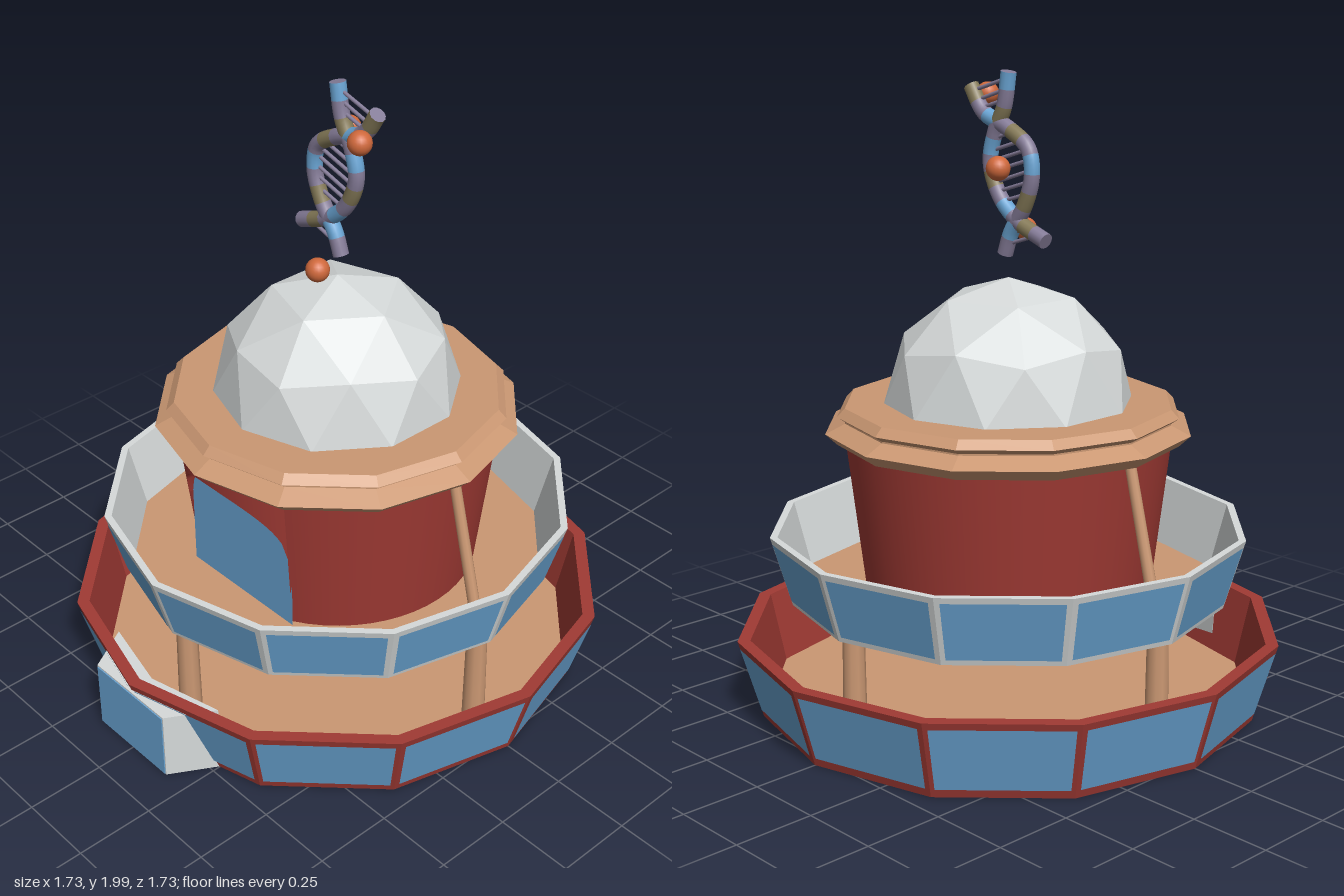
import * as THREE from 'three';

const mat = (name, color, side = THREE.FrontSide) => {
  const m = new THREE.MeshStandardMaterial({ color, side });
  m.name = name;
  return m;
};

export function createModel() {
  const red = mat('brick red', 0xa03a34, THREE.DoubleSide);
  const tan = mat('tan', 0xcb9873);
  const blue = mat('glass blue', 0x6aa5d4);
  const grey = mat('pale grey', 0xd6dada);
  const orange = mat('orange', 0xd0693c);
  const violet = mat('dusty violet', 0x857c98);
  const olive = mat('olive', 0x857a58);

  const model = new THREE.Group();
  model.name = 'pavilion';

  const add = (name, geo, material, x = 0, y = 0, z = 0, parent = model) => {
    const mesh = new THREE.Mesh(geo, material);
    mesh.name = name;
    mesh.position.set(x, y, z);
    parent.add(mesh);
    return mesh;
  };
  // Faceted normals
  const flat = (geo) => {
    const g = geo.index ? geo.toNonIndexed() : geo;
    g.computeVertexNormals();
    return g;
  };
  // Twelve-sided ring from [radius, height] pairs
  const ring = (pts) =>
    flat(new THREE.LatheGeometry(pts.map(([r, y]) => new THREE.Vector2(r, y)), 12));
  // Round bar between two points
  const bar = (name, a, b, r0, r1, material, parent = model) => {
    const mesh = add(name, new THREE.CylinderGeometry(r1, r0, a.distanceTo(b), 10), material, 0, 0, 0, parent);
    mesh.position.copy(a).lerp(b, 0.5);
    mesh.quaternion.setFromUnitVectors(new THREE.Vector3(0, 1, 0), b.clone().sub(a).normalize());
    return mesh;
  };
  // Twelve glass faces just outside a sloping wall
  const panes = (r0, y0, r1, y1, margin, low, high) => {
    const pos = [];
    const corner = (i, side, v) => {
      const r = r0 + (r1 - r0) * v + 0.004;
      const a = (i / 12) * Math.PI * 2, b = ((i + 1) / 12) * Math.PI * 2;
      const t = side ? 1 - margin : margin;
      return [
        r * (Math.sin(a) * (1 - t) + Math.sin(b) * t),
        y0 + (y1 - y0) * v,
        r * (Math.cos(a) * (1 - t) + Math.cos(b) * t),
      ];
    };
    for (let i = 0; i < 12; i++) {
      const p = corner(i, 0, low), q = corner(i, 1, low), s = corner(i, 1, high), t = corner(i, 0, high);
      pos.push(...p, ...q, ...s, ...p, ...s, ...t);
    }
    const g = new THREE.BufferGeometry();
    g.setAttribute('position', new THREE.Float32BufferAttribute(pos, 3));
    g.computeVertexNormals();
    return g;
  };

  // Lower terrace
  add('lowerWall', ring([[0.79, 0], [0.865, 0.255], [0.825, 0.255], [0.775, 0.03]]), red);
  add('lowerWindows', panes(0.79, 0, 0.865, 0.255, 0.035, 0.11, 0.92), blue);
  add('lowerFloor', flat(new THREE.CylinderGeometry(0.785, 0.785, 0.032, 12)), tan, 0, 0.016, 0);

  // Entrance porch
  const plan = new THREE.Shape([
    [-0.165, -0.866], [-0.25, -0.72], [0, -0.78], [0.25, -0.72], [0.165, -0.866],
  ].map(([x, y]) => new THREE.Vector2(x, y)));
  const porch = new THREE.ExtrudeGeometry(plan, { depth: 0.23, bevelEnabled: false });
  porch.rotateX(-Math.PI / 2);
  add('porch', porch, grey);
  add('porchDoor', new THREE.BoxGeometry(0.322, 0.222, 0.005), blue, 0, 0.114, 0.867);

  // Posts under the upper terrace
  for (let i = 0; i < 4; i++) {
    const a = (i * Math.PI) / 2;
    const s = Math.sin(a), c = Math.cos(a);
    bar('deckPost', new THREE.Vector3(s * 0.635, 0.03, c * 0.635),
      new THREE.Vector3(s * 0.635, 0.365, c * 0.635), 0.037, 0.033, tan);
  }

  // Upper terrace
  add('upperWall', ring([[0.69, 0.36], [0.755, 0.583], [0.732, 0.583], [0.675, 0.37]]), grey);
  add('upperWindows', panes(0.69, 0.36, 0.755, 0.583, 0.045, 0.08, 0.92), blue);
  add('upperFloor', flat(new THREE.CylinderGeometry(0.684, 0.684, 0.016, 12)), tan, 0, 0.368, 0);

  // Drum with an arched opening at the front
  const half = 0.512, base = 0.37, top = 0.88;
  const radius = (y) => 0.51 - 0.12 * (0.87 - y);
  const archY = (t) => 0.64 + 0.17 * Math.sqrt(Math.max(0, 1 - (t / half) ** 2));
  const back = new THREE.CylinderGeometry(radius(top), radius(base), top - base, 48, 1, true, half, Math.PI * 2 - 2 * half);
  add('drumWall', back, red, 0, (top + base) / 2, 0);

  const section = (upper, lower) => {
    const g = new THREE.CylinderGeometry(1, 1, 1, 32, 1, true, -half, 2 * half);
    const p = g.attributes.position;
    for (let i = 0; i < p.count; i++) {
      const t = Math.atan2(p.getX(i), p.getZ(i));
      p.setXYZ(i, ...(p.getY(i) > 0 ? upper(t) : lower(t)));
    }
    return g;
  };
  const onDrum = (t, y) => [radius(y) * Math.sin(t), y, radius(y) * Math.cos(t)];
  const archEdge = (t) => onDrum(t, archY(t));
  const glassZ = 0.405;
  add('drumFront', section((t) => onDrum(t, top), archEdge), red);
  const reveal = section(archEdge, (t) => [archEdge(t)[0], archY(t), glassZ]);
  reveal.computeVertexNormals();
  add('archReveal', reveal, red);

  const arch = new THREE.Shape();
  arch.moveTo(-0.236, base);
  arch.lineTo(0.236, base);
  arch.lineTo(0.236, 0.64);
  arch.absellipse(0, 0.64, 0.236, 0.172, 0, Math.PI, false);
  arch.closePath();
  add('archWindow', new THREE.ShapeGeometry(arch, 24), blue, 0, 0, glassZ);

  // Leaning struts either side of the drum
  for (const s of [-1, 1]) {
    bar('strut', new THREE.Vector3(s * 0.64, 0.37, 0), new THREE.Vector3(s * 0.51, 0.89, 0), 0.019, 0.017, tan);
  }

  // Stepped roof
  add('roof', ring([
    [0.4, 0.865], [0.54, 0.865], [0.577, 0.9], [0.515, 0.93], [0.515, 0.935],
    [0.54, 0.952], [0.515, 0.978], [0, 0.978],
  ]), tan);

  // Faceted dome, flattened below its equator
  const dome = new THREE.IcosahedronGeometry(0.39, 1);
  dome.rotateZ(-Math.atan(2 / (1 + Math.sqrt(5))));
  const dp = dome.attributes.position;
  for (let i = 0; i < dp.count; i++) dp.setY(i, Math.max(0, dp.getY(i)));
  add('dome', flat(dome), grey, 0, 0.973, 0);

  // Floating double strand
  const helix = new THREE.Group();
  helix.name = 'helix';
  model.add(helix);
  const curve = (pts) => new THREE.CatmullRomCurve3(pts.map(([x, y]) => new THREE.Vector3(x, y, 0)));
  const strands = [
    curve([[-0.16, 1.49], [-0.04, 1.54], [0.04, 1.61], [0.08, 1.71], [0.06, 1.8], [0.02, 1.88], [0, 1.985]]),
    curve([[0.015, 1.435], [-0.01, 1.5], [-0.07, 1.59], [-0.1, 1.68], [-0.085, 1.76], [0, 1.815], [0.11, 1.86], [0.165, 1.935]]),
  ];
  strands.forEach((c, k) => {
    const steps = 48, sides = 12, run = 4;
    const tube = new THREE.TubeGeometry(c, steps, 0.025, sides);
    for (let j = 0; j < steps; j += run) {
      tube.addGroup(j * sides * 6, run * sides * 6, (j / run + k * 2) % 4);
    }
    add('strand', tube, [violet, olive, violet, blue], 0, 0, 0, helix);
    for (const t of [0, 1]) {
      const p = c.getPointAt(t);
      const cap = add('strandEnd', new THREE.CircleGeometry(0.025, 12), violet, p.x, p.y, p.z, helix);
      cap.lookAt(p.clone().addScaledVector(c.getTangentAt(t), t ? 1 : -1));
    }
  });
  // Rungs lie square to the leaning axis
  const pointAt = (c, u) => c.getPoints(200).find((p) => p.x * 0.3 + p.y >= u);
  for (const u of [1.465, 1.495, 1.6, 1.633, 1.666, 1.7, 1.733, 1.766, 1.8, 1.905, 1.935, 1.965]) {
    bar('rung', pointAt(strands[0], u), pointAt(strands[1], u), 0.006, 0.006, violet, helix);
  }

  // Floating balls
  for (const [x, y, z] of [[0.22, 1.905, 0.12], [-0.175, 1.725, -0.21], [0.105, 1.485, 0.175]]) {
    add('ball', new THREE.SphereGeometry(0.036, 20, 14), orange, x, y, z);
  }

  return model;
}
